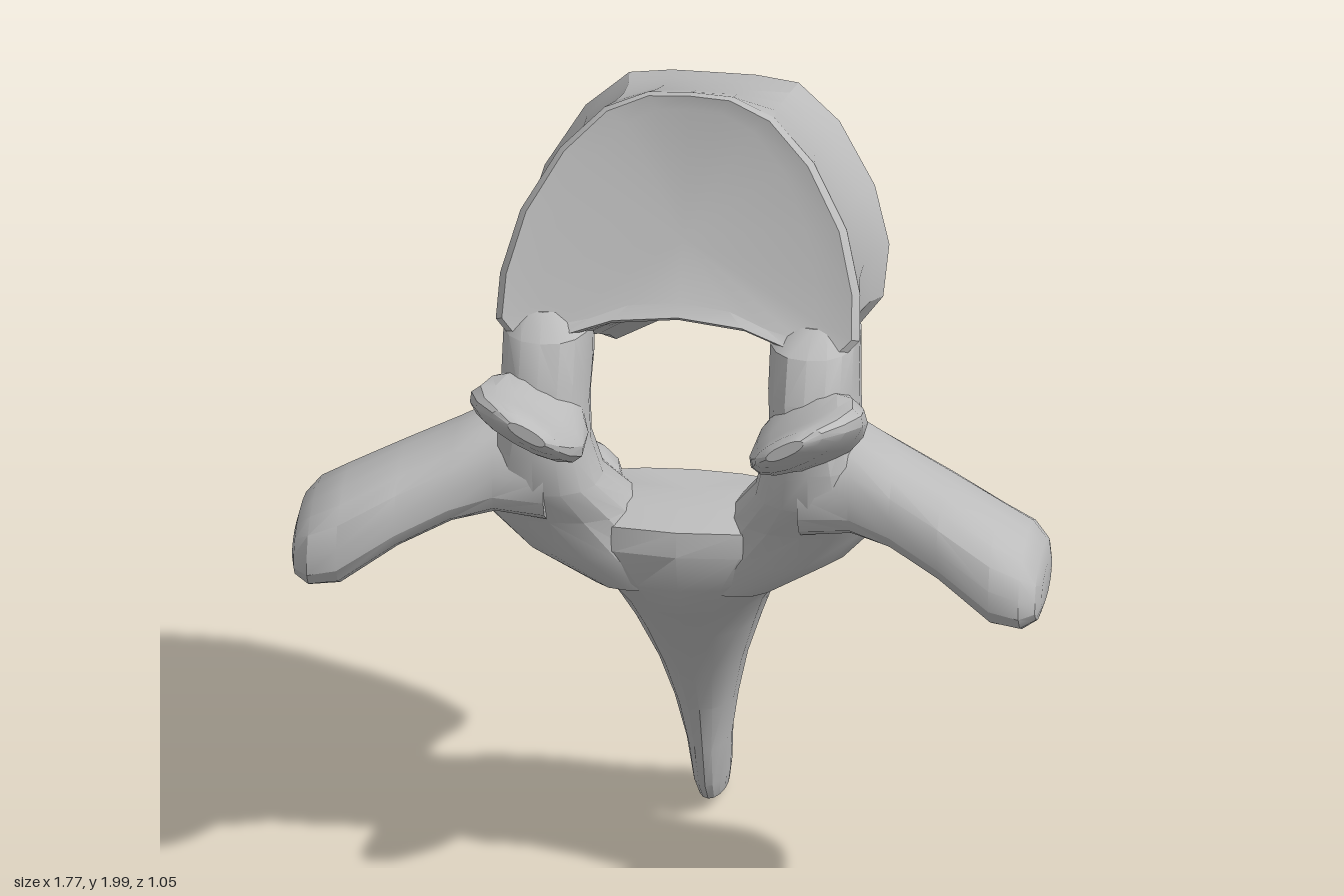
import * as THREE from 'three';
import { toCreasedNormals } from 'three/addons/utils/BufferGeometryUtils.js';

const V = (x, y, z) => new THREE.Vector3(x, y, z);

// Closed skin over a row of rings, capped with fans; windings are turned outward.
function loft(rings) {
  const n = rings[0].length, pos = [], idx = [];
  rings.forEach(r => r.forEach(p => pos.push(p.x, p.y, p.z)));
  for (let i = 0; i < rings.length - 1; i++) {
    for (let j = 0; j < n; j++) {
      const a = i * n + j, b = i * n + (j + 1) % n;
      idx.push(a, b, b + n, a, b + n, a + n);
    }
  }
  for (const [k, flip] of [[0, true], [rings.length - 1, false]]) {
    const c = rings[k].reduce((s, p) => s.add(p), V(0, 0, 0)).divideScalar(n);
    const ci = pos.length / 3;
    pos.push(c.x, c.y, c.z);
    for (let j = 0; j < n; j++) {
      const a = k * n + j, b = k * n + (j + 1) % n;
      if (flip) idx.push(ci, b, a); else idx.push(ci, a, b);
    }
  }
  const at = i => V(pos[3 * i], pos[3 * i + 1], pos[3 * i + 2]);
  let volume = 0;
  for (let i = 0; i < idx.length; i += 3) volume += at(idx[i]).dot(at(idx[i + 1]).cross(at(idx[i + 2])));
  if (volume < 0) idx.reverse();
  const g = new THREE.BufferGeometry();
  g.setAttribute('position', new THREE.Float32BufferAttribute(pos, 3));
  g.setIndex(idx);
  return toCreasedNormals(g, 0.5);
}

// Rounded ring about c, spanned by the half-axes u and v.
function ring(c, u, v, power = 0.85, n = 16) {
  const soft = t => Math.sign(t) * Math.abs(t) ** power;
  return Array.from({ length: n }, (_, i) => {
    const a = i / n * Math.PI * 2;
    return c.clone().addScaledVector(u, soft(Math.cos(a))).addScaledVector(v, soft(Math.sin(a)));
  });
}

// Full outline from a right-hand half that starts and ends on the middle line.
const mirrorOutline = half => [...half, ...half.slice(1, -1).reverse().map(([x, y]) => [-x, y])];

export function createModel() {
  const model = new THREE.Group();
  const bone = new THREE.MeshStandardMaterial({ color: 0xbcbcbc });
  bone.name = 'bone grey';

  const add = (name, rings) => {
    const mesh = new THREE.Mesh(loft(rings), bone);
    mesh.name = name;
    model.add(mesh);
  };
  const addPair = (name, rings) => {
    add('left' + name, rings);
    add('right' + name, rings.map(r => r.map(p => V(-p.x, p.y, p.z))));
  };

  // Vertebral body: a tilted drum between two kidney-shaped end plates
  const front = mirrorOutline([[0, 2], [0.1, 1.995], [0.2, 1.955], [0.3, 1.86], [0.385, 1.72],
    [0.425, 1.58], [0.43, 1.48], [0.38, 1.43], [0.28, 1.45], [0.16, 1.49], [0, 1.505]]);
  const back = mirrorOutline([[0, 1.86], [0.1, 1.86], [0.2, 1.85], [0.3, 1.77], [0.39, 1.63],
    [0.43, 1.5], [0.42, 1.38], [0.34, 1.28], [0.2, 1.24], [0.1, 1.29], [0, 1.32]]);
  const bodyRings = [[0, 0.75, 0.015], [0, 0.96, 0], [0.04, 1, 0], [0.3, 0.95, 0], [0.55, 0.93, 0],
    [0.78, 0.95, 0], [0.95, 1, 0], [1, 0.95, 0]].map(([t, s, dent]) => front.map(([fx, fy], i) => {
    const [bx, by] = back[i];
    const fs = 1.72 + (fy - 1.72) * (1 + (s - 1) * 0.6), bs = 1.55 + (by - 1.55) * (1 + (s - 1) * 0.6);
    const fz = -0.02 + (2 - fs) * 0.4 - dent, bz = -0.44 + (1.86 - bs) * 0.3;
    return V((fx + (bx - fx) * t) * s, fs + (bs - fs) * t, fz + (bz - fz) * t);
  }));
  add('vertebralBody', bodyRings);

  // Pedicles running down into the sides of the arch: y, x, z, half width, half depth
  addPair('Pedicle', [[1.5, 0.32, 0.08, 0.07, 0.09], [1.45, 0.315, 0.09, 0.105, 0.15],
    [1.35, 0.315, 0.11, 0.105, 0.18], [1.26, 0.32, 0.13, 0.105, 0.17], [1.18, 0.325, 0.165, 0.12, 0.135],
    [1.08, 0.325, 0.14, 0.145, 0.15], [0.98, 0.295, 0.06, 0.18, 0.16], [0.88, 0.22, 0.02, 0.17, 0.17],
    [0.78, 0.12, 0, 0.11, 0.14]].map(([y, x, z, w, d]) => ring(V(x, y, z), V(w, 0, 0), V(0, 0, d))));

  // Lamina narrowing into the rear spine: y, front z, back z, half width
  add('rearSpine', [[0.99, 0.12, -0.1, 0.3], [0.96, 0.19, -0.15, 0.4], [0.9, 0.2, -0.2, 0.385],
    [0.8, 0.17, -0.255, 0.255], [0.7, 0.09, -0.31, 0.185], [0.6, 0, -0.35, 0.15], [0.46, -0.1, -0.395, 0.105],
    [0.33, -0.18, -0.43, 0.075], [0.2, -0.23, -0.475, 0.052], [0.09, -0.27, -0.515, 0.043],
    [0.035, -0.32, -0.522, 0.034], [0, -0.45, -0.5, 0.014]]
    .map(([y, f, b, w]) => ring(V(0, y, (f + b) / 2), V(w, 0, 0), V(0, 0, (f - b) / 2), 1)));

  // Side wings sweeping outward to blunt ends: x, y, z, half height, half depth
  addPair('Wing', [[0.3, 1.12, 0.16, 0.13, 0.13], [0.42, 1.125, 0.16, 0.12, 0.135],
    [0.52, 1.09, 0.18, 0.105, 0.14], [0.64, 1.04, 0.22, 0.107, 0.15], [0.77, 0.97, 0.26, 0.122, 0.16],
    [0.84, 0.945, 0.26, 0.107, 0.155], [0.875, 0.935, 0.26, 0.075, 0.125], [0.885, 0.93, 0.26, 0.04, 0.08]]
    .map(([x, y, z, h, d]) => ring(V(x, y, z), V(0, h, -0.02), V(0, 0, d))));

  // Upper joint facets, thin shelves tilted up at the outside: z, x, y, half width, half thickness
  addPair('UpperFacet', [[0.14, 0.33, 1.25, 0.1, 0.09], [0.25, 0.33, 1.27, 0.14, 0.085],
    [0.35, 0.33, 1.295, 0.15, 0.06], [0.44, 0.325, 1.325, 0.125, 0.045], [0.5, 0.31, 1.345, 0.09, 0.03],
    [0.525, 0.305, 1.35, 0.05, 0.015]]
    .map(([z, x, y, w, t]) => ring(V(x, y, z), V(w * 0.87, w * 0.5, 0), V(-t * 0.5, t * 0.87, 0), 0.9)));

  // Lower joint facets, lobes on the back of the arch: z, x, y, half width, half height
  addPair('LowerFacet', [[0.05, 0.31, 1, 0.15, 0.09], [-0.04, 0.325, 0.995, 0.17, 0.1],
    [-0.12, 0.335, 0.98, 0.165, 0.1], [-0.18, 0.34, 0.965, 0.145, 0.085], [-0.21, 0.33, 0.945, 0.1, 0.055]]
    .map(([z, x, y, w, h]) => ring(V(x, y, z), V(w, w * 0.15, 0), V(0, h, h * 0.25))));

  return model;
}
